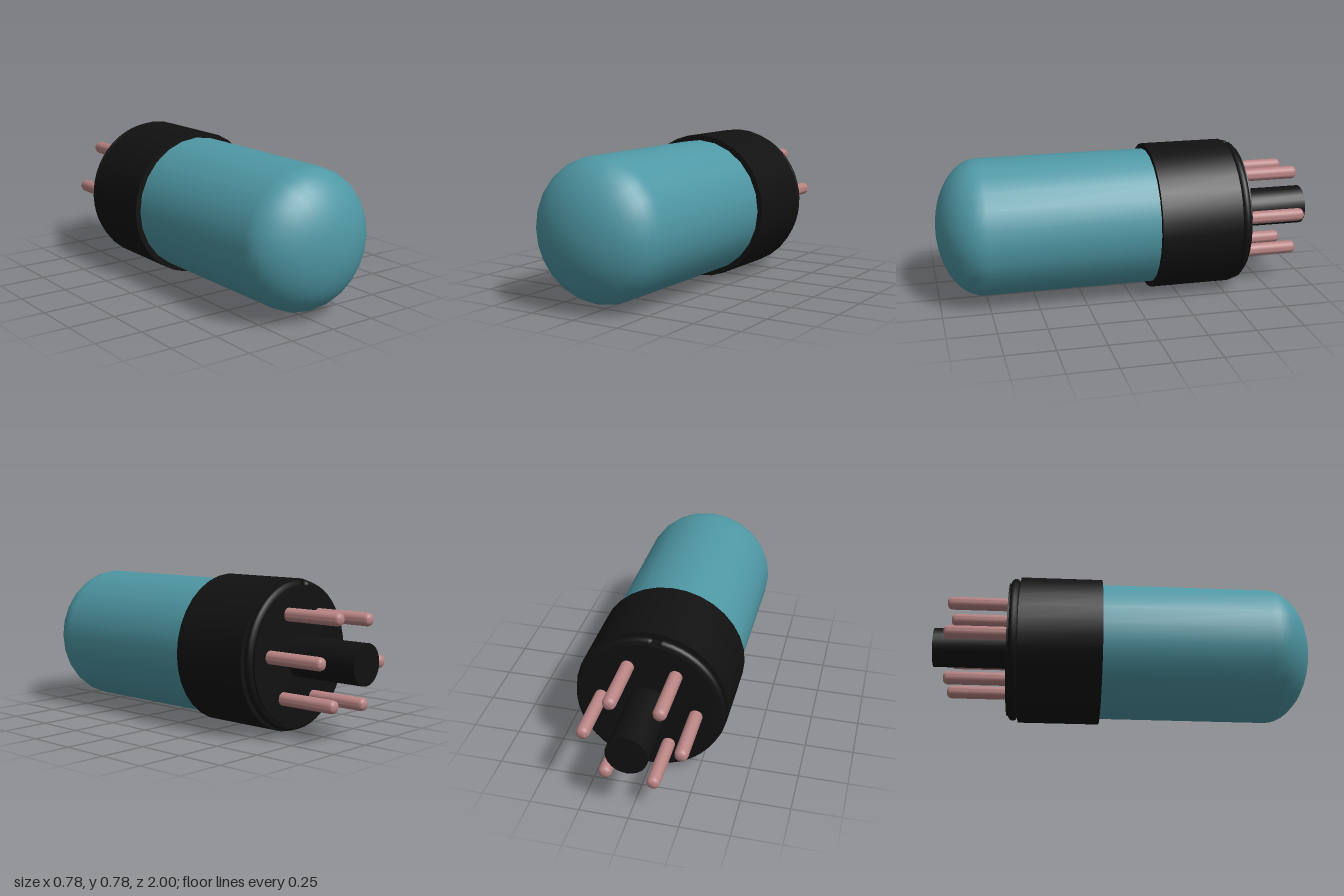
import * as THREE from 'three';
import { toCreasedNormals } from 'three/addons/utils/BufferGeometryUtils.js';

const AXIS_Y = 0.39;

// Turned solid around the z axis; profile is [radius, z] from back to front.
function turned(name, profile, segments, material) {
  const points = profile.map(([r, z]) => new THREE.Vector2(r, z));
  const geometry = new THREE.LatheGeometry(points, segments).rotateX(Math.PI / 2);
  const mesh = new THREE.Mesh(toCreasedNormals(geometry, 0.7), material);
  mesh.name = name;
  return mesh;
}

export function createModel() {
  const glass = new THREE.MeshStandardMaterial({ color: 0x4f98a5 });
  const black = new THREE.MeshStandardMaterial({ color: 0x111111 });
  const copper = new THREE.MeshStandardMaterial({ color: 0xb98484 });

  const tube = new THREE.Group();
  tube.name = 'vacuumTube';
  tube.position.y = AXIS_Y;

  // Glass envelope: straight wall and elliptical dome
  const envelope = [[0, -0.2], [0.36, -0.2]];
  const steps = 12;
  for (let i = 0; i <= steps; i++) {
    const a = (i / steps) * Math.PI / 2;
    envelope.push([i === steps ? 0 : 0.36 * Math.cos(a), 0.765 + 0.235 * Math.sin(a)]);
  }
  tube.add(turned('glassEnvelope', envelope, 24, glass));

  // Base collar and the narrower end plate behind it
  tube.add(turned('baseCollar', [[0, -0.545], [0.388, -0.545], [0.388, -0.118], [0, -0.118]], 32, black));
  tube.add(turned('endPlate', [[0, -0.605], [0.355, -0.605], [0.355, -0.53], [0, -0.53]], 32, black));

  // Split retaining ring with a small gap near the top
  const gap = 0.19;
  const ring = new THREE.Group();
  ring.name = 'retainingRing';
  const hoop = new THREE.Mesh(new THREE.TorusGeometry(0.356, 0.023, 10, 48, Math.PI * 2 - gap), black);
  hoop.name = 'ringHoop';
  ring.add(hoop);
  for (const a of [0, Math.PI * 2 - gap]) {
    const end = new THREE.Mesh(new THREE.SphereGeometry(0.023, 10, 8), black);
    end.name = 'ringEnd';
    end.position.set(0.356 * Math.cos(a), 0.356 * Math.sin(a), 0);
    ring.add(end);
  }
  ring.position.z = -0.573;
  ring.rotation.z = Math.PI / 2 + gap;
  tube.add(ring);

  // Central locating post
  tube.add(turned('centrePost', [[0, -1], [0.104, -1], [0.104, -0.58], [0, -0.58]], 24, black));

  // Six contact pins with rounded tips
  const pinProfile = [
    [0, -0.93], [0.018, -0.928], [0.029, -0.92], [0.034, -0.905], [0.034, -0.59], [0, -0.59],
  ];
  for (let i = 0; i < 6; i++) {
    const a = THREE.MathUtils.degToRad(5 + i * 60);
    const pin = turned('contactPin', pinProfile, 14, copper);
    pin.position.set(0.24 * Math.cos(a), 0.24 * Math.sin(a), 0);
    tube.add(pin);
  }

  const model = new THREE.Group();
  model.name = 'model';
  model.add(tube);
  return model;
}
